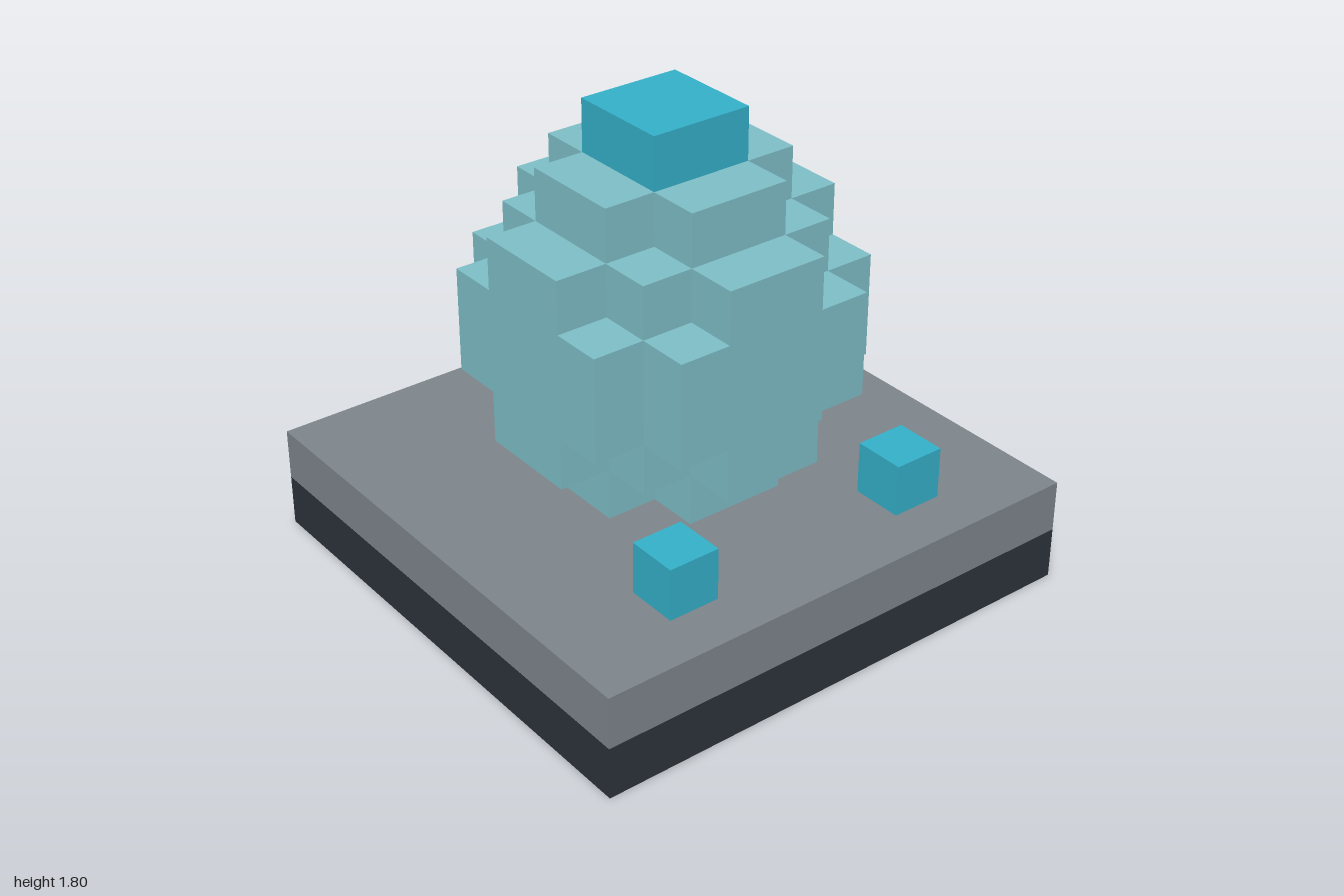
import * as THREE from 'three';

const U = 0.2; // size of one block

const makeMaterial = (name, color) => {
  const m = new THREE.MeshStandardMaterial({ color });
  m.name = name;
  return m;
};

export function createModel() {
  const model = new THREE.Group();
  model.name = 'eggOnPlinth';
  const shell = makeMaterial('pale teal', 0x80c0c9);
  const accent = makeMaterial('bright cyan', 0x35b2ca);
  const stone = makeMaterial('stone grey', 0x7f868d);
  const dark = makeMaterial('dark slate', 0x2d343b);

  // Box measured in blocks, standing on height y
  const block = (name, material, w, h, d, x, y, z) => {
    const mesh = new THREE.Mesh(new THREE.BoxGeometry(w * U, h * U, d * U), material);
    mesh.position.set(x * U, (y + h / 2) * U, z * U);
    mesh.name = name;
    model.add(mesh);
  };

  // One-block-high layer: stepped quarter outline, turned four times
  const layer = (quarter, y) => {
    const points = [];
    for (let q = 0; q < 4; q++) {
      for (const [px, py] of quarter) {
        const p = new THREE.Vector2(px * U, py * U);
        for (let i = 0; i < q; i++) p.set(-p.y, p.x);
        points.push(p);
      }
    }
    const geometry = new THREE.ExtrudeGeometry(new THREE.Shape(points), { depth: U, bevelEnabled: false });
    geometry.rotateX(-Math.PI / 2);
    const mesh = new THREE.Mesh(geometry, shell);
    mesh.position.y = y * U;
    mesh.name = 'eggLayer';
    egg.add(mesh);
  };

  // Plinth
  block('plinthBottom', dark, 10, 1, 10, 0, 0, 0);
  block('plinthTop', stone, 10, 1, 10, 0, 1, 0);

  // Egg, widest in the middle and mirrored top to bottom
  const egg = new THREE.Group();
  egg.name = 'egg';
  model.add(egg);
  const end = [[2, 1], [1, 1], [1, 2]];
  const shoulder = [[3, 1], [2, 1], [2, 2], [1, 2], [1, 3]];
  const middle = [[3, 2], [2, 2], [2, 3]];
  [end, shoulder, middle, middle, shoulder, end].forEach((outline, i) => layer(outline, 2 + i));

  // Cap and the two loose crystals in front
  block('cap', accent, 2, 1, 2, 0, 8, 0);
  for (const side of [-1, 1]) block('crystal', accent, 1, 1, 1, side * 2.5, 2, 3.5);

  return model;
}
